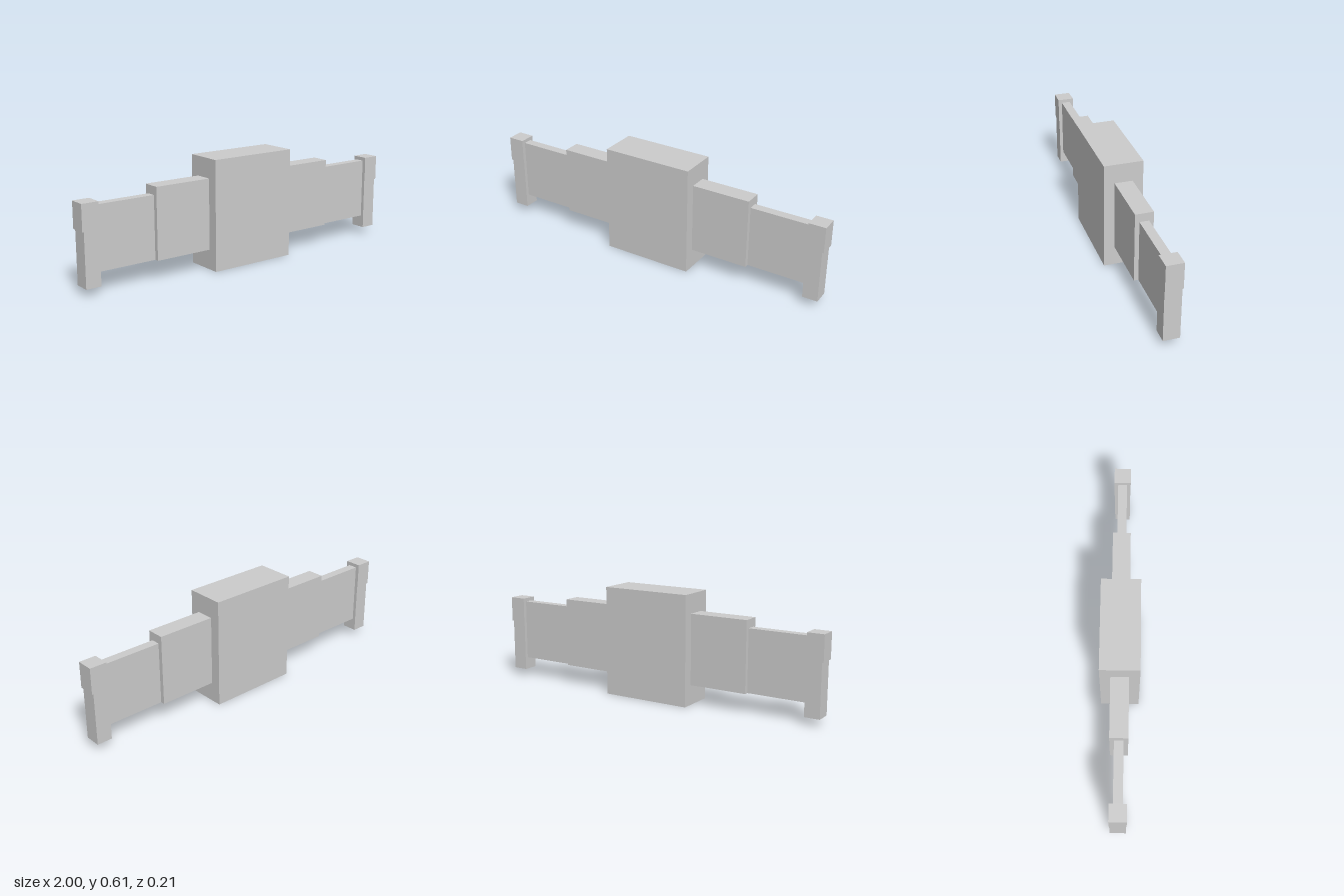
import * as THREE from 'three';

const material = new THREE.MeshStandardMaterial({ color: 0xcccccc, flatShading: true });

// Box given by its x and y ranges and its depth, centred on z = 0
function block(name, x0, x1, y0, y1, depth) {
  const mesh = new THREE.Mesh(new THREE.BoxGeometry(x1 - x0, y1 - y0, depth), material);
  mesh.name = name;
  mesh.position.set((x0 + x1) / 2, (y0 + y1) / 2, 0);
  return mesh;
}

export function createModel() {
  const model = new THREE.Group();
  model.name = 'winged body';

  // Thick central body
  model.add(block('centralBody', -0.254, 0.254, 0, 0.605, 0.213));

  // Stepped wing on each side: name, inner x, outer x, bottom, top, depth
  const wingParts = [
    ['InnerPanel', 0.254, 0.58, 0.11, 0.498, 0.098],
    ['OuterPanel', 0.58, 0.907, 0.11, 0.452, 0.05],
    ['TipPost', 0.907, 0.991, 0.04, 0.33, 0.088],
    ['TipCap', 0.907, 1, 0.33, 0.472, 0.092],
  ];
  for (const [side, s] of [['left', 1], ['right', -1]]) {
    const wing = new THREE.Group();
    wing.name = side + 'Wing';
    for (const [name, inner, outer, y0, y1, depth] of wingParts) {
      const [x0, x1] = s > 0 ? [inner, outer] : [-outer, -inner];
      wing.add(block(side + name, x0, x1, y0, y1, depth));
    }
    model.add(wing);
  }
  return model;
}
